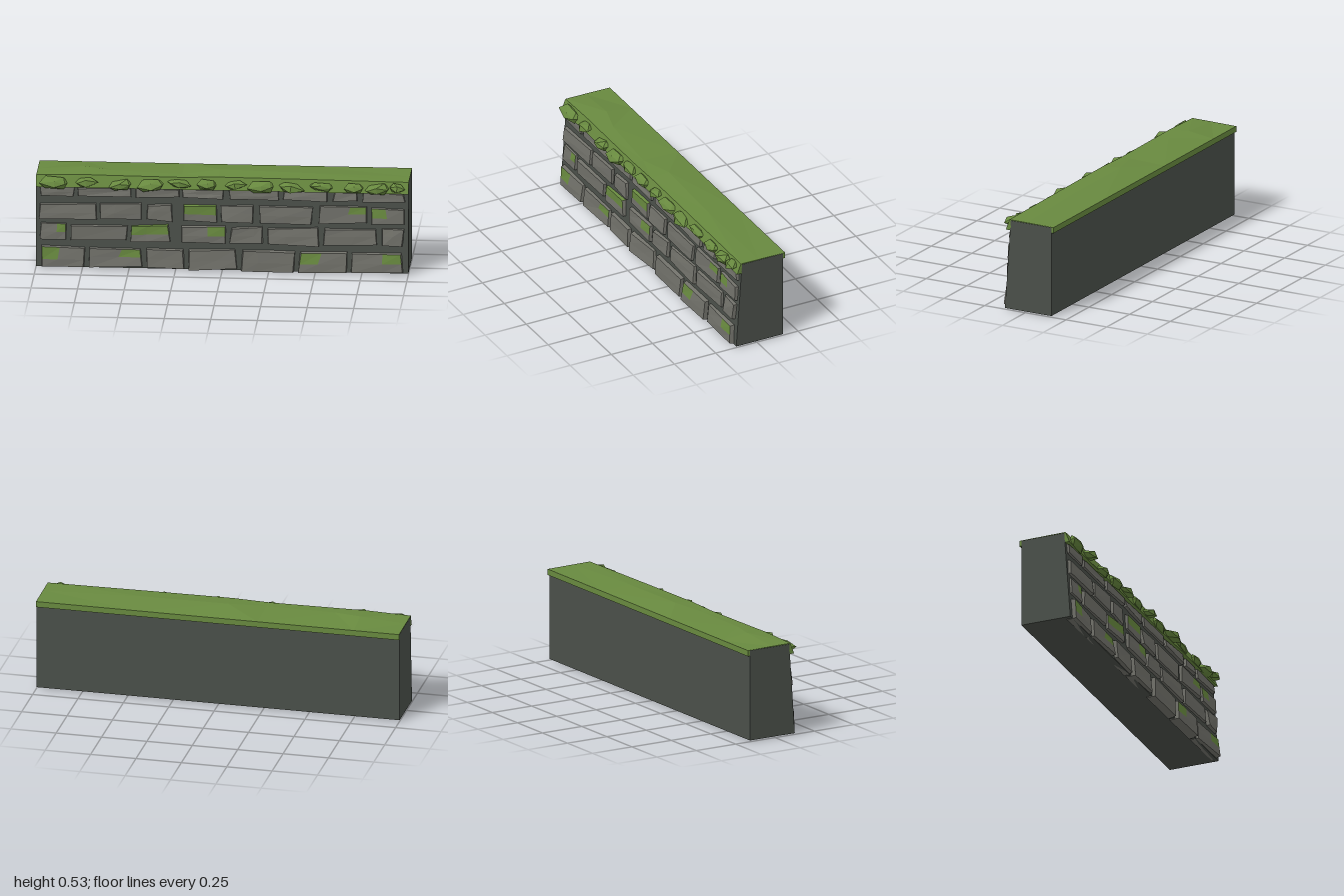
import * as THREE from 'three';

const mat = (name, color) => {
  const m = new THREE.MeshStandardMaterial({ color });
  m.name = name;
  m.flatShading = true;
  return m;
};

// small seeded random, -1..1
let seed = 7;
const rnd = () => {
  seed = (seed * 16807) % 2147483647;
  return (seed / 2147483647) * 2 - 1;
};

// front slope of the wall
const wallZ = (y) => 0.125 - 0.07 * (y - 0.007);

function meshFrom(positions, material, name) {
  const g = new THREE.BufferGeometry();
  g.setAttribute('position', new THREE.Float32BufferAttribute(positions.flat(), 3));
  g.computeVertexNormals();
  const m = new THREE.Mesh(g, material);
  m.name = name;
  return m;
}

// mortar core: sloped section drawn out along x
function makeCore(material) {
  const s = new THREE.Shape([[-0.125, 0.007], [0.16, 0.007], [0.16, 0.505], [-0.09, 0.505]]
    .map(([x, y]) => new THREE.Vector2(x, y)));
  const g = new THREE.ExtrudeGeometry(s, { depth: 2, bevelEnabled: false });
  g.rotateY(Math.PI / 2).translate(-1, 0, 0);
  const m = new THREE.Mesh(g, material);
  m.name = 'wallCore';
  return m;
}

// grass cap: a bumpy section lofted along x, with back lip and front skirt
function makeCap(material) {
  const stations = [ // x, ridge y, ridge z, front edge y
    [-1, 0.509, -0.02, 0.51], [-0.75, 0.528, -0.02, 0.517], [-0.6, 0.521, 0.02, 0.515],
    [-0.22, 0.513, 0.04, 0.512], [-0.02, 0.528, -0.01, 0.518], [0.45, 0.521, 0, 0.515], [1, 0.509, -0.01, 0.51],
  ];
  const rings = stations.map(([x, ry, rz, fy]) => [
    [x, 0.475, -0.16], [x, 0.475, -0.172], [x, 0.507, -0.172], [x, ry, rz],
    [x, fy, 0.097], [x, 0.45, 0.12], [x, 0.45, 0.09], [x, 0.506, 0.089], [x, 0.506, -0.16],
  ]);
  const pos = [];
  const n = rings[0].length;
  for (let i = 0; i < rings.length - 1; i++) {
    for (let j = 0; j < n; j++) {
      const k = (j + 1) % n;
      const a = rings[i][j], b = rings[i][k], c = rings[i + 1][k], d = rings[i + 1][j];
      if (i % 2) pos.push(a, b, c, a, c, d);
      else pos.push(a, b, d, b, c, d);
    }
  }
  for (const [ring, flip] of [[rings[0], true], [rings.at(-1), false]]) {
    const contour = ring.map((p) => new THREE.Vector2(-p[2], p[1]));
    for (const [a, b, c] of THREE.ShapeUtils.triangulateShape(contour, [])) {
      pos.push(ring[a], ring[flip ? c : b], ring[flip ? b : c]);
    }
  }
  return meshFrom(pos, material, 'grassCap');
}

// rough brick: tapered block whose face is a 2 x 2 grid; top cells may be mossy
function makeBrick(x0, x1, y0, y1, depth, moss, stone, green) {
  const u = moss === 'L' ? 0.42 : moss === 'R' ? 0.6 : 0.5 + 0.25 * rnd();
  const v = moss === 'T' ? 0.45 : 0.5 + 0.12 * rnd();
  const stonePos = [], greenPos = [];
  const j = 0.007;
  // outline corners: bottom left, bottom right, top right, top left
  const outline = [[x0, y0], [x1, y0], [x1, y1], [x0, y1]].map(([x, y]) => [
    x + j * rnd(), Math.max(0, y + j * rnd())]);
  const back = outline.map(([x, y]) => [x, y, wallZ(y) - 0.03]);
  const cx = (x0 + x1) / 2, cy = (y0 + y1) / 2;
  const face = outline.map(([x, y]) => [
    x - Math.sign(x - cx) * (0.008 + 0.005 * rnd()),
    y - Math.sign(y - cy) * (0.008 + 0.005 * rnd()),
    wallZ(y) + depth * (0.75 + 0.25 * rnd())]);
  const mix = (a, b, t) => a.map((p, i) => p + (b[i] - p) * t);
  const grid = [0, v, 1].map((t) => {
    const l = mix(face[0], face[3], t), r = mix(face[1], face[2], t);
    return [l, mix(l, r, u + 0.06 * rnd()), r];
  });
  grid[1][1][2] += 0.005 * rnd();
  const quad = (out, a, b, c, d) => out.push(a, b, c, a, c, d);
  for (let r = 0; r < 2; r++) {
    for (let c = 0; c < 2; c++) {
      const mossy = r === 1 && (moss === 'T' || (moss === 'L' && c === 0) || (moss === 'R' && c === 1));
      quad(mossy ? greenPos : stonePos, grid[r][c], grid[r][c + 1], grid[r + 1][c + 1], grid[r + 1][c]);
    }
  }
  // sides follow the face border, fanned from the buried back corners
  const mids = [grid[0][1], grid[1][2], grid[2][1], grid[1][0]];
  for (let i = 0; i < 4; i++) {
    const k = (i + 1) % 4;
    const out = moss === 'T' && i === 2 ? greenPos : stonePos;
    out.push(back[i], mids[i], face[i], back[i], back[k], mids[i], back[k], face[k], mids[i]);
  }
  quad(stonePos, back[3], back[2], back[1], back[0]);
  const g = new THREE.Group();
  g.name = 'brick';
  g.add(meshFrom(stonePos, stone, 'brickStone'));
  if (greenPos.length) g.add(meshFrom(greenPos, green, 'brickMoss'));
  return g;
}

// angular clump of grass hanging over the front edge
function makeClump(x, w, y, h, d, material) {
  const g = new THREE.IcosahedronGeometry(1, 0);
  const p = g.attributes.position;
  for (let i = 0; i < p.count; i++) {
    const [a, b, c] = [p.getX(i), p.getY(i), p.getZ(i)];
    const k = 1 + 0.22 * Math.sin(5 * a + 7 * b + 3 * c + x * 23);
    p.setXYZ(i, a * k * w, b * k * h, c * k * d - b * 0.006);
  }
  g.computeVertexNormals();
  const m = new THREE.Mesh(g, material);
  m.position.set(x, y, 0.117);
  m.rotation.z = 0.15 * Math.sin(x * 31);
  m.name = 'grassClump';
  return m;
}

export function createModel() {
  const mortar = mat('mortar', 0x4a4f49);
  const stone = mat('stone', 0x71716a);
  const green = mat('grass', 0x68893f);
  const model = new THREE.Group();
  model.name = 'mossyStoneWall';
  model.add(makeCore(mortar), makeCap(green));

  // brick courses: bottom, top, depth, then [left, right, moss]
  const courses = [
    [0.004, 0.125, 0.025, [[-0.98, -0.73, 'L'], [-0.72, -0.43, 'R'], [-0.41, -0.2], [-0.18, 0.08],
      [0.1, 0.39], [0.41, 0.67, 'L'], [0.69, 0.97, 'R']]],
    [0.148, 0.25, 0.021, [[-0.98, -0.83, 'R'], [-0.81, -0.51], [-0.49, -0.28, 'T'], [-0.23, 0.02, 'R'],
      [0.04, 0.22], [0.24, 0.52], [0.54, 0.83], [0.85, 0.98]]],
    [0.268, 0.368, 0.02, [[-0.98, -0.67], [-0.66, -0.43], [-0.41, -0.26], [-0.22, -0.03, 'T'],
      [-0.01, 0.17], [0.2, 0.49], [0.52, 0.78, 'R'], [0.79, 0.98, 'L']]],
    [0.392, 0.455, 0.018, [[-0.98, -0.79], [-0.78, -0.48], [-0.47, -0.23], [-0.22, 0.01],
      [0.03, 0.3], [0.32, 0.57], [0.59, 0.73], [0.75, 0.98]]],
  ];
  const bricks = new THREE.Group();
  bricks.name = 'bricks';
  for (const [y0, y1, depth, row] of courses) {
    for (const [x0, x1, moss] of row) bricks.add(makeBrick(x0, x1, y0, y1, depth, moss, stone, green));
  }
  model.add(bricks);

  // grass clumps: x, half width, y, half height, half depth
  const clumps = [
    [-0.9, 0.08, 0.475, 0.032, 0.046], [-0.73, 0.066, 0.482, 0.03, 0.038], [-0.55, 0.07, 0.465, 0.03, 0.04],
    [-0.38, 0.075, 0.472, 0.032, 0.043], [-0.23, 0.07, 0.482, 0.026, 0.034], [-0.08, 0.055, 0.48, 0.026, 0.033],
    [0.07, 0.065, 0.482, 0.027, 0.036], [0.21, 0.075, 0.472, 0.03, 0.038], [0.37, 0.075, 0.475, 0.03, 0.046],
    [0.53, 0.07, 0.48, 0.022, 0.026], [0.71, 0.055, 0.478, 0.026, 0.03], [0.83, 0.075, 0.47, 0.033, 0.042],
    [0.94, 0.045, 0.485, 0.026, 0.036],
  ];
  const fringe = new THREE.Group();
  fringe.name = 'grassFringe';
  for (const c of clumps) fringe.add(makeClump(...c, green));
  model.add(fringe);
  return model;
}
